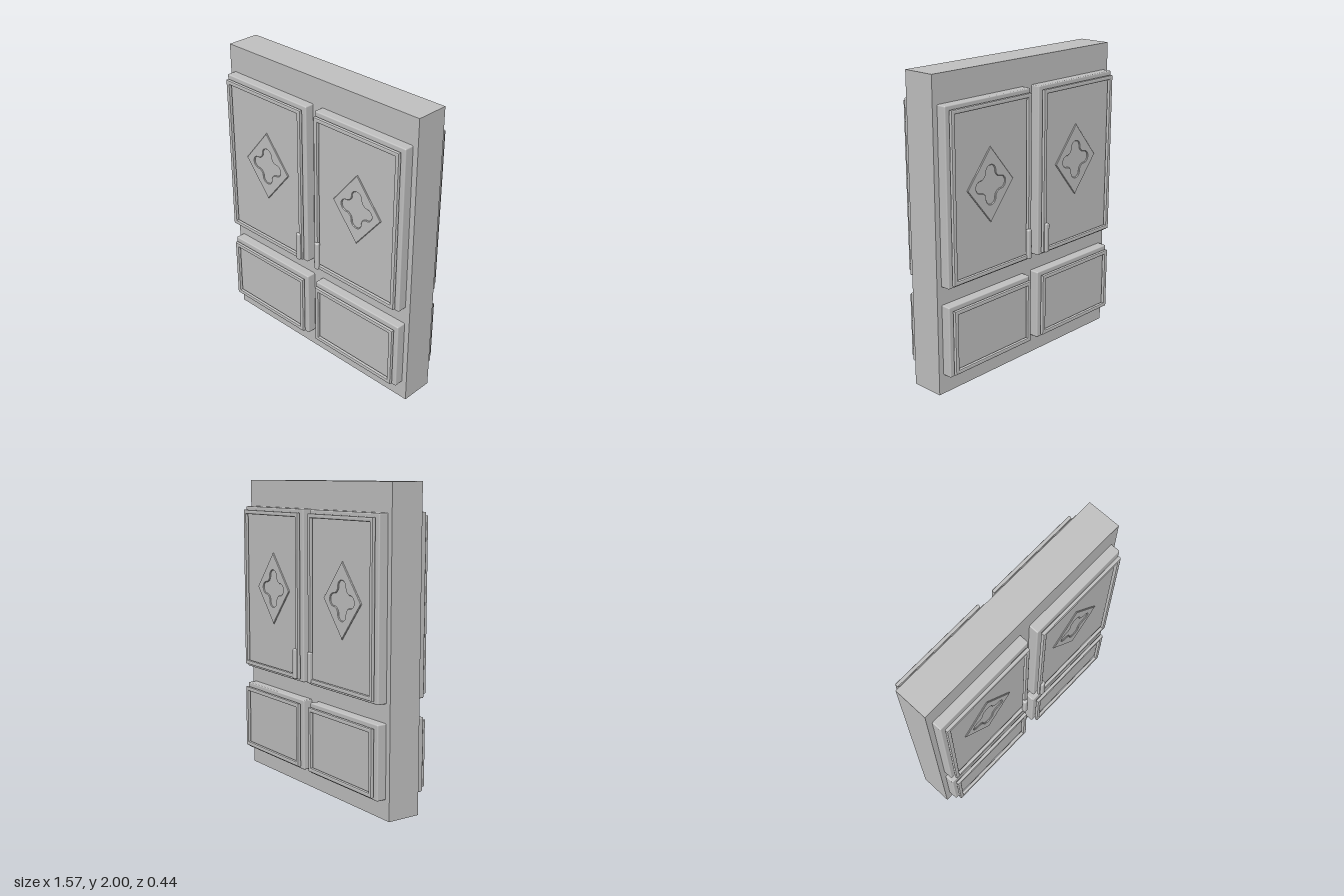
import * as THREE from 'three';
import { RoundedBoxGeometry } from 'three/addons/geometries/RoundedBoxGeometry.js';

const grey = new THREE.MeshStandardMaterial({ color: 0xc0c0c0 });
grey.name = 'plain grey';

function part(name, geometry, x = 0, y = 0, z = 0) {
  const mesh = new THREE.Mesh(geometry, grey);
  mesh.name = name;
  mesh.position.set(x, y, z);
  return mesh;
}

function rectangle(target, w, h) {
  target.moveTo(-w / 2, -h / 2);
  target.lineTo(w / 2, -h / 2);
  target.lineTo(w / 2, h / 2);
  target.lineTo(-w / 2, h / 2);
  target.closePath();
  return target;
}

// Picture-frame moulding with bevelled edges, lying between z = 0 and z = depth
function mouldingGeometry(w, h, width, depth) {
  const b = 0.008;
  const shape = rectangle(new THREE.Shape(), w - 2 * b, h - 2 * b);
  const inset = 2 * (width - b);
  shape.holes.push(rectangle(new THREE.Path(), w - inset, h - inset));
  return new THREE.ExtrudeGeometry(shape, {
    depth: depth - 2 * b, bevelThickness: b, bevelSize: b, bevelSegments: 2,
  }).translate(0, 0, b);
}

// Four round lobes joined by concave quarter arcs
function quatrefoil(target, lobe) {
  const c = 0.085, fillet = c - lobe;
  for (let i = 0; i < 4; i++) {
    const a = i * Math.PI / 2;
    const cos = Math.cos(a), sin = Math.sin(a);
    target.absarc(c * cos, c * sin, lobe, a - Math.PI / 2, a + Math.PI / 2, false);
    target.absarc(c * (cos - sin), c * (sin + cos), fillet, a - Math.PI / 2, a - Math.PI, true);
  }
  return target;
}

// Thin diamond plate with a quatrefoil opening
function diamondGeometry() {
  const shape = new THREE.Shape();
  shape.moveTo(0.19, 0);
  shape.lineTo(0, 0.232);
  shape.lineTo(-0.19, 0);
  shape.lineTo(0, -0.232);
  shape.closePath();
  shape.holes.push(quatrefoil(new THREE.Path(), 0.042));
  return new THREE.ExtrudeGeometry(shape, {
    depth: 0.004, bevelThickness: 0.004, bevelSize: 0.004, bevelSegments: 1, curveSegments: 12,
  });
}

// One raised panel and its moulding
function addPanel(face, label, x, bottom, top) {
  const h = top - bottom, y = (top + bottom) / 2;
  face.add(part(label + 'Panel', new RoundedBoxGeometry(0.712, h, 0.094, 2, 0.008), x, y, 0.127));
  face.add(part(label + 'Moulding', mouldingGeometry(0.67, h - 0.044, 0.028, 0.025), x, y - 0.001, 0.182));
}

function createFace(name) {
  const face = new THREE.Group();
  face.name = name;
  for (const side of [-1, 1]) {
    const x = side * 0.393;
    addPanel(face, 'upper', x, 0.711, 1.823);
    addPanel(face, 'lower', x, 0.127, 0.593);
    face.add(part('diamondOrnament', diamondGeometry(), x, 1.288, 0.173));
    face.add(part('handle', new RoundedBoxGeometry(0.034, 0.198, 0.03, 3, 0.01), side * 0.083, 0.832, 0.207));
  }
  return face;
}

export function createModel() {
  const model = new THREE.Group();
  model.name = 'panelledDoor';
  model.add(part('slab', new THREE.BoxGeometry(1.57, 2, 0.222), 0, 1, 0));

  // Both faces carry the same panels
  const back = createFace('backFace');
  back.rotation.y = Math.PI;
  model.add(createFace('frontFace'), back);
  return model;
}
